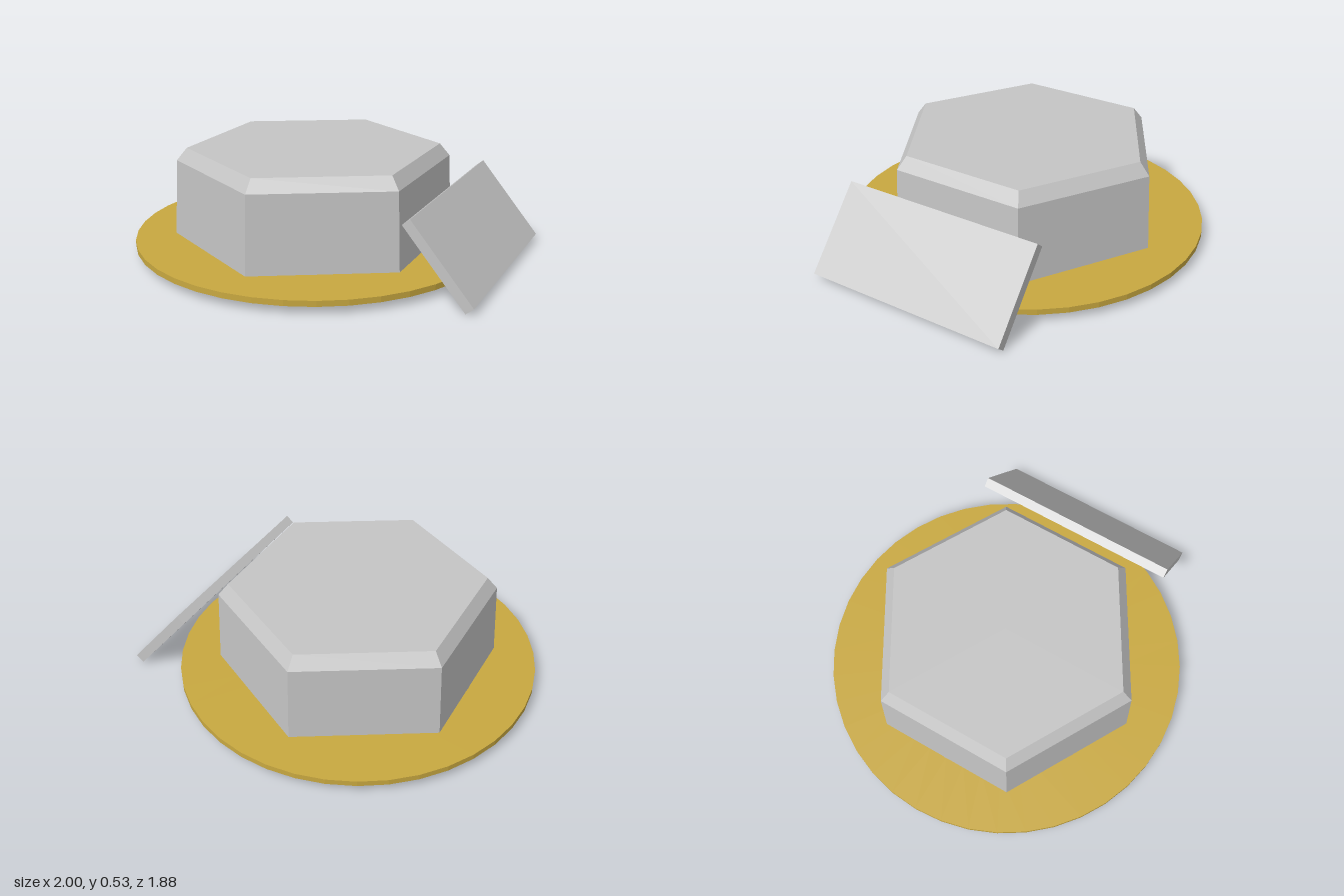
import * as THREE from 'three';

const silver = new THREE.MeshStandardMaterial({ color: 0xc4c4c4 });
silver.name = 'silver';
const gold = new THREE.MeshStandardMaterial({ color: 0xc8a840 });
gold.name = 'gold';

// Faceted solid of revolution from a profile of [radius, height] points
function turned(name, profile, sides, material) {
  const points = profile.map(([r, y]) => new THREE.Vector2(r, y));
  const geometry = new THREE.LatheGeometry(points, sides).toNonIndexed();
  geometry.computeVertexNormals();
  const mesh = new THREE.Mesh(geometry, material);
  mesh.name = name;
  return mesh;
}

export function createModel() {
  const model = new THREE.Group();
  model.name = 'hexagonalCase';

  const body = new THREE.Group();
  body.name = 'body';
  body.position.x = -0.06;
  model.add(body);

  // Hollow six-sided shell, open underneath, with a bevelled top
  body.add(turned('hexShell', [
    [0.705, 0.034], [0.735, 0.034], [0.713, 0.465], [0.66, 0.53], [0, 0.53],
    [0, 0.505], [0.645, 0.505], [0.684, 0.455], [0.705, 0.034],
  ], 6, silver));

  // Flat round flange with a round opening
  body.add(turned('flangeRing', [
    [0.637, 0.038], [0.94, 0.038], [0.94, 0.067], [0.637, 0.067], [0.637, 0.038],
  ], 40, gold));

  // Tilted plate beside the body
  const plate = new THREE.Mesh(new THREE.BoxGeometry(0.487, 0.05, 1.09), silver);
  plate.name = 'sidePlate';
  plate.position.set(0.824, 0.203, 0);
  plate.rotation.z = THREE.MathUtils.degToRad(-50);
  model.add(plate);

  return model;
}
